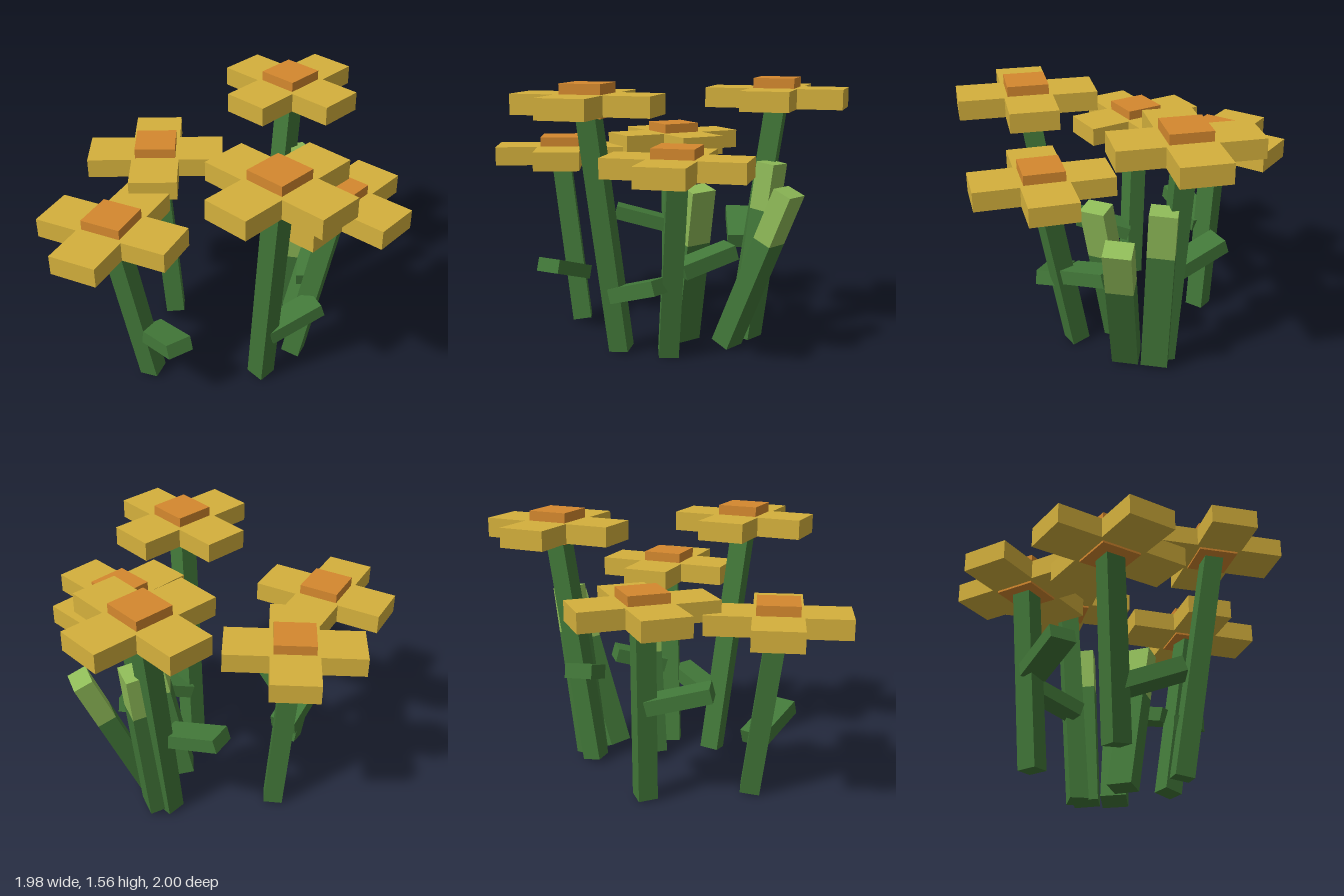
import * as THREE from 'three';

const mat = (name, color) => {
  const m = new THREE.MeshStandardMaterial({ color });
  m.name = name;
  return m;
};
const UP = new THREE.Vector3(0, 1, 0);

// Square-cut bar running between two points, twisted about its own length
function bar(name, from, to, width, depth, yaw, material) {
  const a = new THREE.Vector3(...from), b = new THREE.Vector3(...to);
  const dir = b.clone().sub(a);
  const mesh = new THREE.Mesh(new THREE.BoxGeometry(width, dir.length(), depth), material);
  mesh.position.copy(a).add(b).multiplyScalar(0.5);
  mesh.quaternion.setFromUnitVectors(UP, dir.normalize())
    .multiply(new THREE.Quaternion().setFromAxisAngle(UP, THREE.MathUtils.degToRad(yaw)));
  mesh.name = name;
  return mesh;
}

// Flat leaf whose wide side stays level
function leaf(from, to, material) {
  const a = new THREE.Vector3(...from), b = new THREE.Vector3(...to);
  const mesh = new THREE.Mesh(new THREE.BoxGeometry(0.155, 0.085, a.distanceTo(b)), material);
  mesh.position.copy(a).add(b).multiplyScalar(0.5);
  mesh.lookAt(b);
  mesh.name = 'leaf';
  return mesh;
}

// Four-petal cross, lying flat with its underside at y = 0
function crossGeometry(width, span, thickness) {
  const w = width / 2, s = span / 2;
  const pts = [];
  for (let i = 0; i < 4; i++) {
    const c = Math.round(Math.cos(i * Math.PI / 2)), n = Math.round(Math.sin(i * Math.PI / 2));
    for (const [x, y] of [[s, -w], [s, w], [w, w]]) {
      pts.push(new THREE.Vector2(x * c - y * n, x * n + y * c));
    }
  }
  return new THREE.ExtrudeGeometry(new THREE.Shape(pts), { depth: thickness, bevelEnabled: false })
    .rotateX(-Math.PI / 2);
}

export function createModel() {
  const model = new THREE.Group();
  model.name = 'flowerPatch';
  const green = mat('stemGreen', 0x427839);
  const lime = mat('tipGreen', 0x8fbb58);
  const yellow = mat('petalYellow', 0xd4b03c);
  const orange = mat('centreOrange', 0xd4882e);

  const petals = crossGeometry(0.275, 0.79, 0.113);
  const centre = new THREE.BoxGeometry(0.235, 0.182, 0.235);

  // Flowers: head (underside of petals), foot, head yaw, stem yaw, leaf start and end
  const flowers = [
    { head: [0.16, 1.403, -0.595], foot: [0.1, 0.03, -0.4], yaw: -30, stemYaw: -30,
      leaf: [[0.09, 0.595, -0.41], [-0.25, 0.71, -0.495]] },
    { head: [-0.555, 1.085, -0.145], foot: [-0.475, 0.025, -0.13], yaw: 14.5, stemYaw: 14.5,
      leaf: [[-0.51, 0.59, -0.12], [-0.59, 0.685, 0.23]] },
    { head: [-0.577, 1.015, 0.58], foot: [-0.435, 0.025, 0.48], yaw: -11.5, stemYaw: -11.5,
      leaf: [[-0.43, 0.335, 0.49], [-0.18, 0.445, 0.72]] },
    { head: [0.572, 1.072, 0.1], foot: [0.355, 0.025, 0.1], yaw: -27.5, stemYaw: -10,
      leaf: [[0.43, 0.53, 0.05], [0.385, 0.62, -0.26]] },
    { head: [0.328, 1.397, 0.537], foot: [0.205, 0.025, 0.345], yaw: -30, stemYaw: -30,
      leaf: [[0.24, 0.36, 0.37], [0.5, 0.465, 0.17]] },
  ];
  for (const f of flowers) {
    const flower = new THREE.Group();
    flower.name = 'flower';
    flower.add(bar('stem', f.foot, [f.head[0], f.head[1] + 0.03, f.head[2]], 0.113, 0.113, f.stemYaw, green));
    flower.add(leaf(...f.leaf, green));

    const head = new THREE.Group();
    head.name = 'flowerHead';
    head.position.set(...f.head);
    head.rotation.y = THREE.MathUtils.degToRad(f.yaw);
    const petalCross = new THREE.Mesh(petals, yellow);
    petalCross.name = 'petals';
    const disc = new THREE.Mesh(centre, orange);
    disc.name = 'flowerCentre';
    disc.position.y = 0.079;
    head.add(petalCross, disc);
    flower.add(head);
    model.add(flower);
  }

  // Leaning blades with pale tips: foot, tip, share of length that is dark, yaw
  const blades = [
    { foot: [0.28, 0.04, -0.27], tip: [0.57, 0.97, -0.53], split: 0.69, yaw: 38 },
    { foot: [0.19, 0.04, -0.42], tip: [0.25, 1.09, -0.54], split: 0.74, yaw: 40 },
    { foot: [0.13, 0.04, -0.045], tip: [0.335, 0.97, -0.08], split: 0.66, yaw: 20 },
  ];
  for (const b of blades) {
    const mid = b.foot.map((v, i) => v + (b.tip[i] - v) * b.split);
    const blade = new THREE.Group();
    blade.name = 'blade';
    blade.add(bar('bladeBase', b.foot, mid, 0.115, 0.155, b.yaw, green));
    blade.add(bar('bladeTip', mid, b.tip, 0.115, 0.155, b.yaw, lime));
    model.add(blade);
  }
  return model;
}
